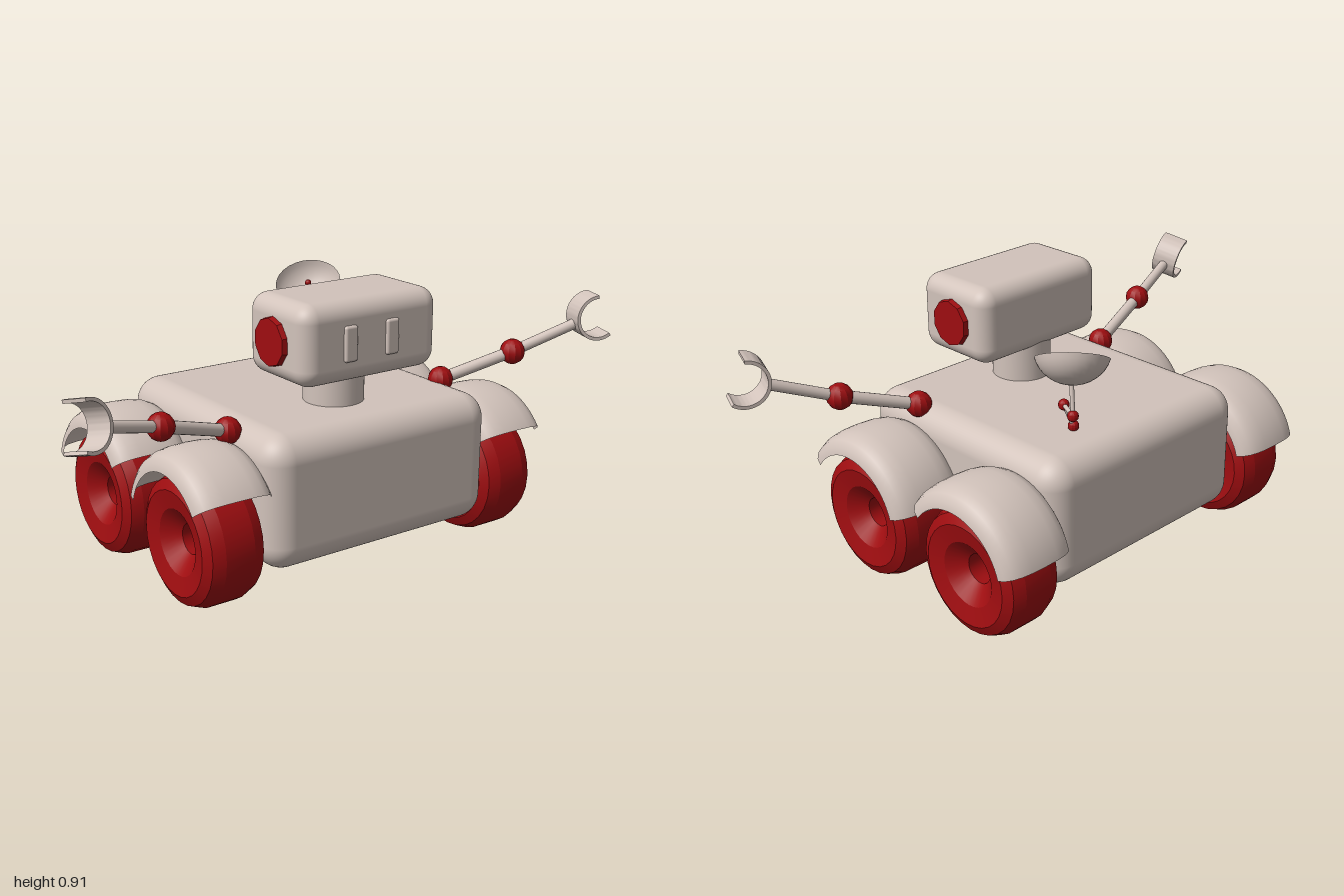
import * as THREE from 'three';
import { toCreasedNormals } from 'three/addons/utils/BufferGeometryUtils.js';
import { RoundedBoxGeometry } from 'three/addons/geometries/RoundedBoxGeometry.js';

const V = (x, y, z) => new THREE.Vector3(x, y, z);
const P = (x, y) => new THREE.Vector2(x, y);
const rad = THREE.MathUtils.degToRad;

export function createModel() {
  const root = new THREE.Group();
  const shell = new THREE.MeshStandardMaterial({ color: 0xd2c3bb, side: THREE.DoubleSide });
  shell.name = 'pale shell';
  const red = new THREE.MeshStandardMaterial({ color: 0x9e0d10 });
  red.name = 'deep red';

  const add = (name, geometry, material, pos, parent = root) => {
    const mesh = new THREE.Mesh(geometry, material);
    mesh.name = name;
    mesh.position.copy(pos);
    parent.add(mesh);
    return mesh;
  };

  // Straight rod between two points
  const rod = (name, a, b, r, parent) => {
    const d = b.clone().sub(a);
    const mesh = add(name, new THREE.CylinderGeometry(r, r, d.length(), 16), shell,
      a.clone().add(b).multiplyScalar(0.5), parent);
    mesh.quaternion.setFromUnitVectors(V(0, 1, 0), d.normalize());
  };
  const ball = (name, p, r, parent) =>
    add(name, toCreasedNormals(new THREE.SphereGeometry(r, 12, 8), 0.4), red, p, parent);

  // Body, neck and head
  add('body', new RoundedBoxGeometry(0.87, 0.43, 0.86, 6, 0.085), shell, V(0.025, 0.326, -0.04));
  add('neck', new THREE.CylinderGeometry(0.098, 0.098, 0.2, 32), shell, V(0.2, 0.58, -0.02));
  add('head', new RoundedBoxGeometry(0.31, 0.255, 0.52, 5, 0.055), shell, V(0.245, 0.778, -0.022));
  for (const z of [0.068, -0.09]) {
    add('facePlate', new RoundedBoxGeometry(0.02, 0.112, 0.048, 3, 0.009), shell, V(0.4, 0.777, z));
  }

  // Round caps on both ends of the head
  for (const s of [1, -1]) {
    const cap = add('headCap', toCreasedNormals(new THREE.CylinderGeometry(0.075, 0.081, 0.03, 10), 0.3),
      red, V(0.24, 0.775, -0.022 + s * 0.262));
    cap.rotation.x = s * Math.PI / 2;
  }

  // Wheel: closed ring profile with a dished hub and an open bore
  const half = [[0.048, 0.045], [0.066, 0.06], [0.105, 0.092], [0.165, 0.105], [0.196, 0.088], [0.211, 0.05]];
  const wheelProfile = [
    ...half.map(([r, y]) => P(r, -y)),
    ...half.map(([r, y]) => P(r, y)).reverse(),
    P(half[0][0], -half[0][1]),
  ];
  const wheelGeo = toCreasedNormals(new THREE.LatheGeometry(wheelProfile, 28), 0.35);

  // Fender: arched strip swept around the wheel
  const fenderHalf = [[0.198, 0.132], [0.222, 0.128], [0.242, 0.112], [0.255, 0.085], [0.261, 0.05]];
  const fenderProfile = [
    ...fenderHalf.map(([r, y]) => P(r, -y)),
    P(0.263, 0),
    ...fenderHalf.map(([r, y]) => P(r, y)).reverse(),
  ];
  const fenderGeo = new THREE.LatheGeometry(fenderProfile, 24, rad(126), rad(128));

  for (const x of [-0.24, 0.247]) {
    for (const [wheelZ, fenderZ] of [[0.5, 0.502], [-0.574, -0.582]]) {
      add('wheel', wheelGeo, red, V(x, 0.211, wheelZ)).rotation.x = Math.PI / 2;
      add('fender', fenderGeo, shell, V(x + 0.003, 0.24, fenderZ)).rotation.x = Math.PI / 2;
    }
  }

  // Claw: open curved strip, its gap facing local +y
  const clawShape = new THREE.Shape();
  clawShape.absarc(0, 0, 0.078, rad(163), rad(377), false);
  clawShape.absarc(0, 0, 0.067, rad(377), rad(163), true);
  const clawGeo = toCreasedNormals(
    new THREE.ExtrudeGeometry(clawShape, { depth: 0.09, bevelEnabled: false, curveSegments: 20 })
      .translate(0, 0, -0.045), 0.5);

  // Two jointed arms
  const buildArm = (name, shoulder, elbow, claw, roll) => {
    const arm = new THREE.Group();
    arm.name = name;
    root.add(arm);
    const dir = claw.clone().sub(elbow).normalize();
    ball('shoulderJoint', shoulder, 0.043, arm);
    ball('elbowJoint', elbow, 0.043, arm);
    rod('upperArm', shoulder, elbow, 0.02, arm);
    rod('forearm', elbow, claw.clone().addScaledVector(dir, -0.07), 0.018, arm);
    const hand = add('claw', clawGeo, shell, claw, arm);
    const up = V(0, 1, 0).addScaledVector(dir, -dir.y).normalize();
    const side = up.clone().cross(dir);
    hand.quaternion.setFromRotationMatrix(new THREE.Matrix4().makeBasis(up, dir, side));
    hand.rotateY(roll);
  };
  buildArm('frontArm', V(0.226, 0.52, 0.395), V(0.287, 0.6, 0.657), V(0.37, 0.678, 0.945), 0.25);
  buildArm('rearArm', V(0.235, 0.54, -0.44), V(0.322, 0.617, -0.68), V(0.425, 0.725, -0.95), 0);

  // Dish antenna on a bent stalk
  const antenna = new THREE.Group();
  antenna.name = 'antenna';
  root.add(antenna);
  const normal = V(0.35, 0.85, 0.39).normalize();
  const focus = V(-0.28, 0.797, -0.265);
  const apex = focus.clone().addScaledVector(normal, -0.078);
  const joints = [V(-0.246, 0.553, -0.225), V(-0.241, 0.635, -0.262), V(-0.325, 0.64, -0.308)];
  joints.forEach((p, i) => {
    ball('stalkJoint', p, 0.018, antenna);
    rod('stalk', p, joints[i + 1] || apex, 0.007, antenna);
  });
  const bowl = [];
  for (let i = 0; i <= 8; i++) {
    const a = (i / 8) * rad(75);
    bowl.push(P(0.114 * Math.sin(a) / Math.sin(rad(75)), 0.08 * (1 - Math.cos(a)) / (1 - Math.cos(rad(75)))));
  }
  const dish = add('dish', new THREE.LatheGeometry(bowl, 28), shell, apex, antenna);
  dish.quaternion.setFromUnitVectors(V(0, 1, 0), normal);
  rod('feedRod', apex, focus, 0.005, antenna);
  ball('feedTip', focus, 0.011, antenna);

  return root;
}
